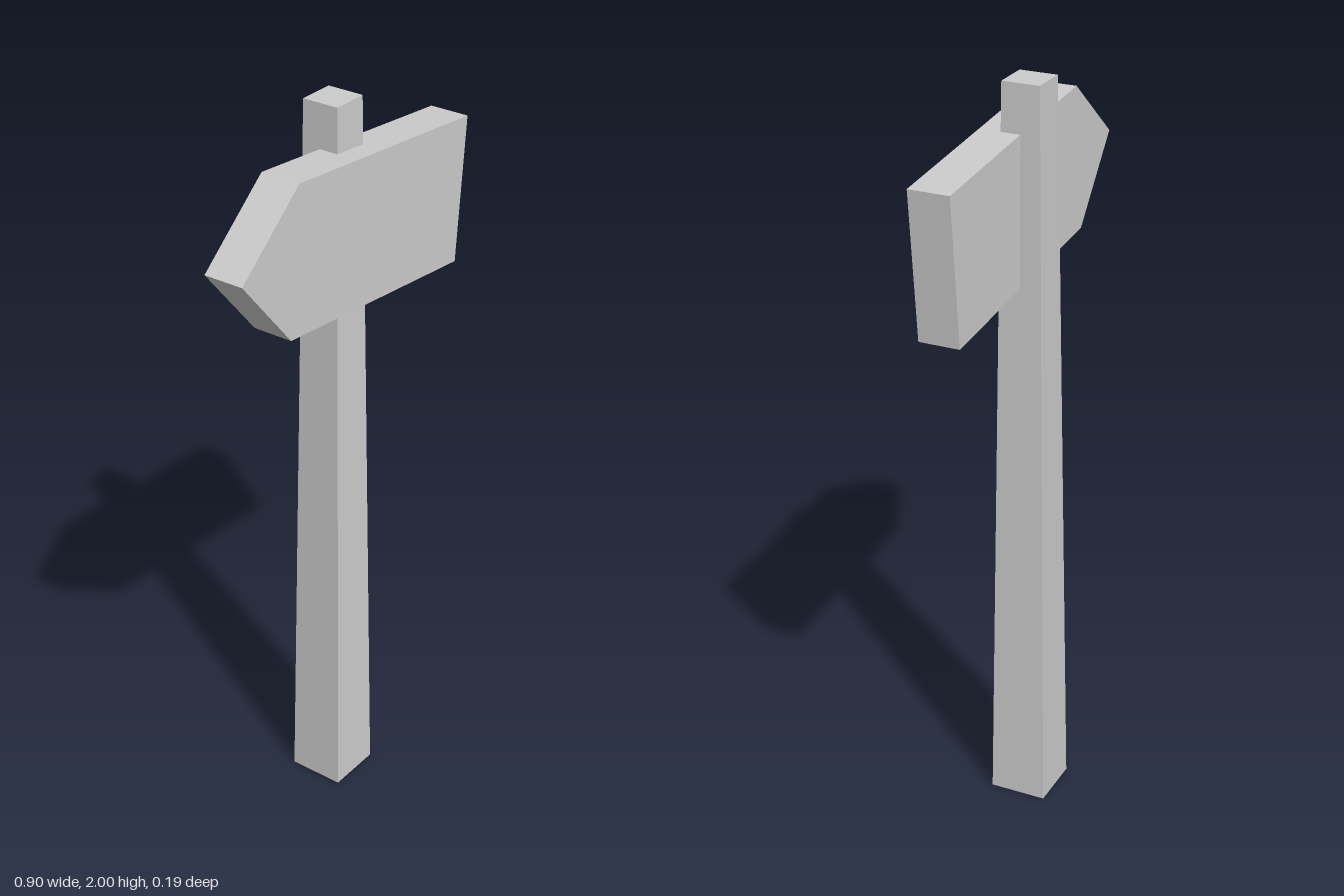
import * as THREE from 'three';

export function createModel() {
  const model = new THREE.Group();
  const material = new THREE.MeshStandardMaterial({ color: 0xcccccc, flatShading: true });

  // Square post, tapering towards the top
  const postGeometry = new THREE.CylinderGeometry(0.05 * Math.SQRT2, 0.077 * Math.SQRT2, 2, 4);
  postGeometry.rotateY(Math.PI / 4);
  const post = new THREE.Mesh(postGeometry, material);
  post.name = 'post';
  post.position.set(0.033, 1, -0.017);
  model.add(post);

  // Arrow-shaped board, slightly tilted, pointing to -x
  const outline = [[-0.453, 1.728], [-0.277, 1.518], [0.414, 1.453], [0.45, 1.842], [-0.24, 1.905]];
  const shape = new THREE.Shape(outline.map(([x, y]) => new THREE.Vector2(x, y)));
  const boardGeometry = new THREE.ExtrudeGeometry(shape, { depth: 0.109, bevelEnabled: false });
  const board = new THREE.Mesh(boardGeometry, material);
  board.name = 'arrowBoard';
  board.position.z = -0.017;
  model.add(board);

  return model;
}
